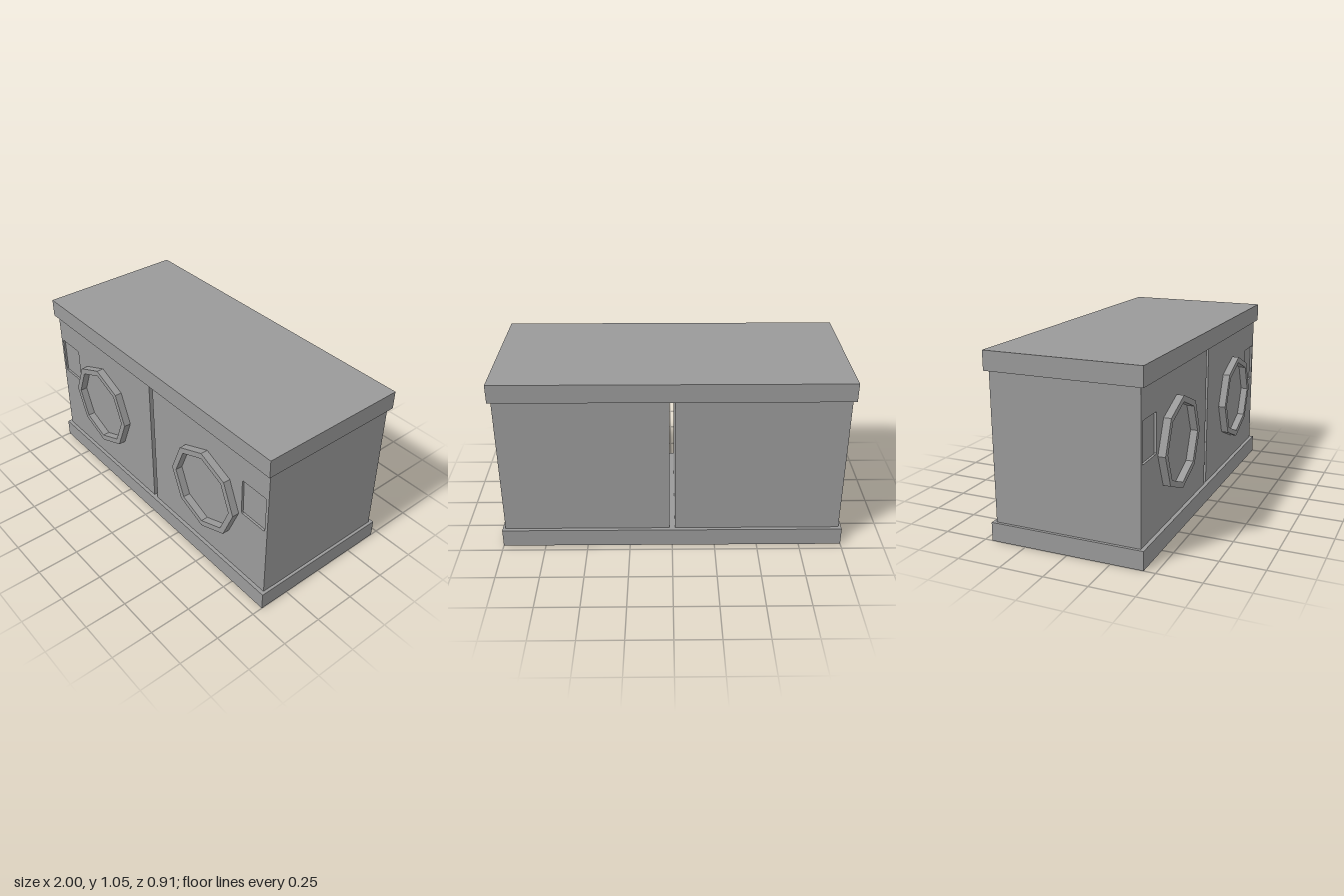
import * as THREE from 'three';

const material = new THREE.MeshStandardMaterial({ color: 0x9a9a9a, flatShading: true });

function add(parent, name, geometry, x = 0, y = 0, z = 0) {
  const mesh = new THREE.Mesh(geometry, material);
  mesh.name = name;
  mesh.position.set(x, y, z);
  parent.add(mesh);
  return mesh;
}

const extrude = (shape, depth) => new THREE.ExtrudeGeometry(shape, { depth, bevelEnabled: false });

// Rectangle with small clipped corners
function clippedRect(w, h, c) {
  const x = w / 2, y = h / 2;
  return [
    [-x + c, -y], [x - c, -y], [x, -y + c], [x, y - c],
    [x - c, y], [-x + c, y], [-x, y - c], [-x, -y + c],
  ].map(([px, py]) => new THREE.Vector2(px, py));
}

// Octagon with a corner pointing up
function octagon(radius) {
  return Array.from({ length: 8 }, (_, i) =>
    new THREE.Vector2(Math.cos(i * Math.PI / 4) * radius, Math.sin(i * Math.PI / 4) * radius));
}

const WIDTH = 0.967, BOTTOM = 0.107, TOP = 0.947, HEIGHT = TOP - BOTTOM;
const BACK = -0.432, FRONT = 0.413, RECESS = 0.013;

// One machine; side is +1 for the left unit, -1 for the right unit
function createMachine(side) {
  const machine = new THREE.Group();
  machine.name = side > 0 ? 'leftMachine' : 'rightMachine';
  const cx = side * 0.4995, cy = (BOTTOM + TOP) / 2;

  // Cabinet behind the front panel
  const depth = FRONT - RECESS - BACK;
  add(machine, 'cabinet', new THREE.BoxGeometry(WIDTH, HEIGHT, depth), cx, cy, BACK + depth / 2);

  // Front panel with the sunken control recess cut through it
  const panel = new THREE.Shape([[-1, -1], [1, -1], [1, 1], [-1, 1]]
    .map(([x, y]) => new THREE.Vector2(x * WIDTH / 2, y * HEIGHT / 2)));
  const offset = new THREE.Vector2(side * 0.874 - cx, 0.66 - cy);
  panel.holes.push(new THREE.Path(clippedRect(0.181, 0.225, 0.006).map(p => p.add(offset))));
  add(machine, 'frontPanel', extrude(panel, RECESS), cx, cy, FRONT - RECESS);

  // Raised octagonal door ring
  const ring = new THREE.Shape(octagon(0.263));
  ring.holes.push(new THREE.Path(octagon(0.227)));
  add(machine, 'doorRing', extrude(ring, 0.042), side * 0.5, 0.527, FRONT);

  return machine;
}

export function createModel() {
  const model = new THREE.Group();
  model.name = 'machinePair';

  // Shared base plinth and worktop
  const slab = height => new THREE.BoxGeometry(2, height, 0.89);
  add(model, 'basePlinth', slab(0.107), 0, 0.0535, -0.01);
  add(model, 'worktop', slab(0.108), 0, 1.001, -0.01);

  for (const side of [1, -1]) model.add(createMachine(side));
  return model;
}
